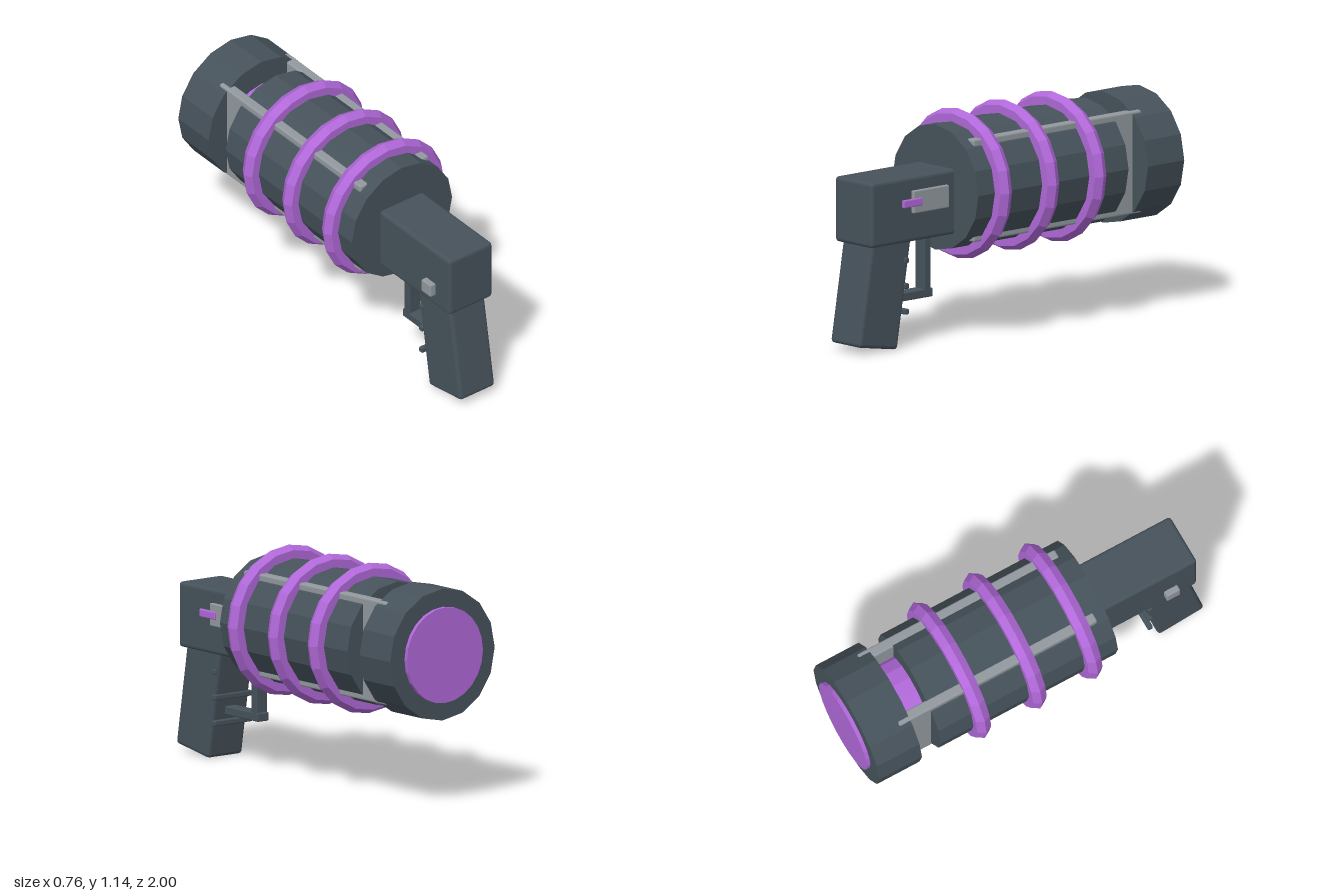
import * as THREE from 'three';
import { RoundedBoxGeometry } from 'three/addons/geometries/RoundedBoxGeometry.js';

const AXIS_Y = 0.77; // height of the barrel axis

function material(name, color) {
  const m = new THREE.MeshStandardMaterial({ color, flatShading: true });
  m.name = name;
  return m;
}

export function createModel() {
  const model = new THREE.Group();
  model.name = 'blaster';
  const dark = material('dark slate', 0x46525b);
  const grey = material('light grey', 0x92999e);
  const purple = material('purple', 0xb068d8);

  const add = (name, geometry, mat, x, y, z) => {
    const mesh = new THREE.Mesh(geometry, mat);
    mesh.name = name;
    mesh.position.set(x, y, z);
    model.add(mesh);
    return mesh;
  };

  // Box given by its limits on each axis, with softened edges
  const box = (name, mat, [x0, x1], [y0, y1], [z0, z1], r = 0.006) =>
    add(name, new RoundedBoxGeometry(x1 - x0, y1 - y0, z1 - z0, 2, r), mat,
      (x0 + x1) / 2, (y0 + y1) / 2, (z0 + z1) / 2);

  // Cylinder along the barrel axis
  const drum = (name, mat, radius, z0, z1, sides = 16) =>
    add(name, new THREE.CylinderGeometry(radius, radius, z1 - z0, sides).rotateX(-Math.PI / 2),
      mat, 0, AXIS_Y, (z0 + z1) / 2);

  // Barrel, muzzle and glowing core
  drum('barrel', dark, 0.317, -0.62, 0.39);
  drum('muzzle', dark, 0.333, -0.98, -0.737);
  drum('core', purple, 0.2, -0.8, -0.55);
  drum('lens', purple, 0.242, -1.0, -0.95, 24);

  // Coil rings around the barrel
  for (const z of [0.24, -0.078, -0.395]) {
    add('coilRing', new THREE.TorusGeometry(0.335, 0.045, 6, 20), purple, 0, AXIS_Y, z);
  }

  // Side plates whose edges show as rails along the barrel
  for (const s of [-1, 1]) {
    box('railPlate', grey, [s * 0.19 - 0.027, s * 0.19 + 0.027], [0.512, 1.032], [-0.8, 0.33], 0.01);
  }

  // Receiver and slanted grip
  box('receiver', dark, [-0.137, 0.137], [0.55, 0.88], [0.3, 0.943], 0.018);
  const grip = add('grip', new RoundedBoxGeometry(0.22, 0.6, 0.262, 2, 0.018), dark, 0, 0.326, 0.821);
  grip.rotation.x = -0.166;

  // Finger ridges
  for (const y of [0.195, 0.325, 0.455]) {
    box('fingerRidge', dark, [-0.12, 0.12], [y - 0.014, y + 0.014], [0.675, 0.702]);
  }

  // Trigger guard
  box('guardPost', dark, [-0.035, 0.035], [0.24, 0.6], [0.45, 0.495]);
  box('guardBar', dark, [-0.035, 0.035], [0.228, 0.272], [0.438, 0.76]);

  // Switch on the left, button on the right
  box('switchPlate', grey, [0.12, 0.154], [0.695, 0.81], [0.436, 0.675]);
  box('switchLever', purple, [0.143, 0.163], [0.732, 0.772], [0.622, 0.748]);
  box('sideButton', grey, [-0.168, -0.12], [0.615, 0.685], [0.755, 0.83]);

  return model;
}
